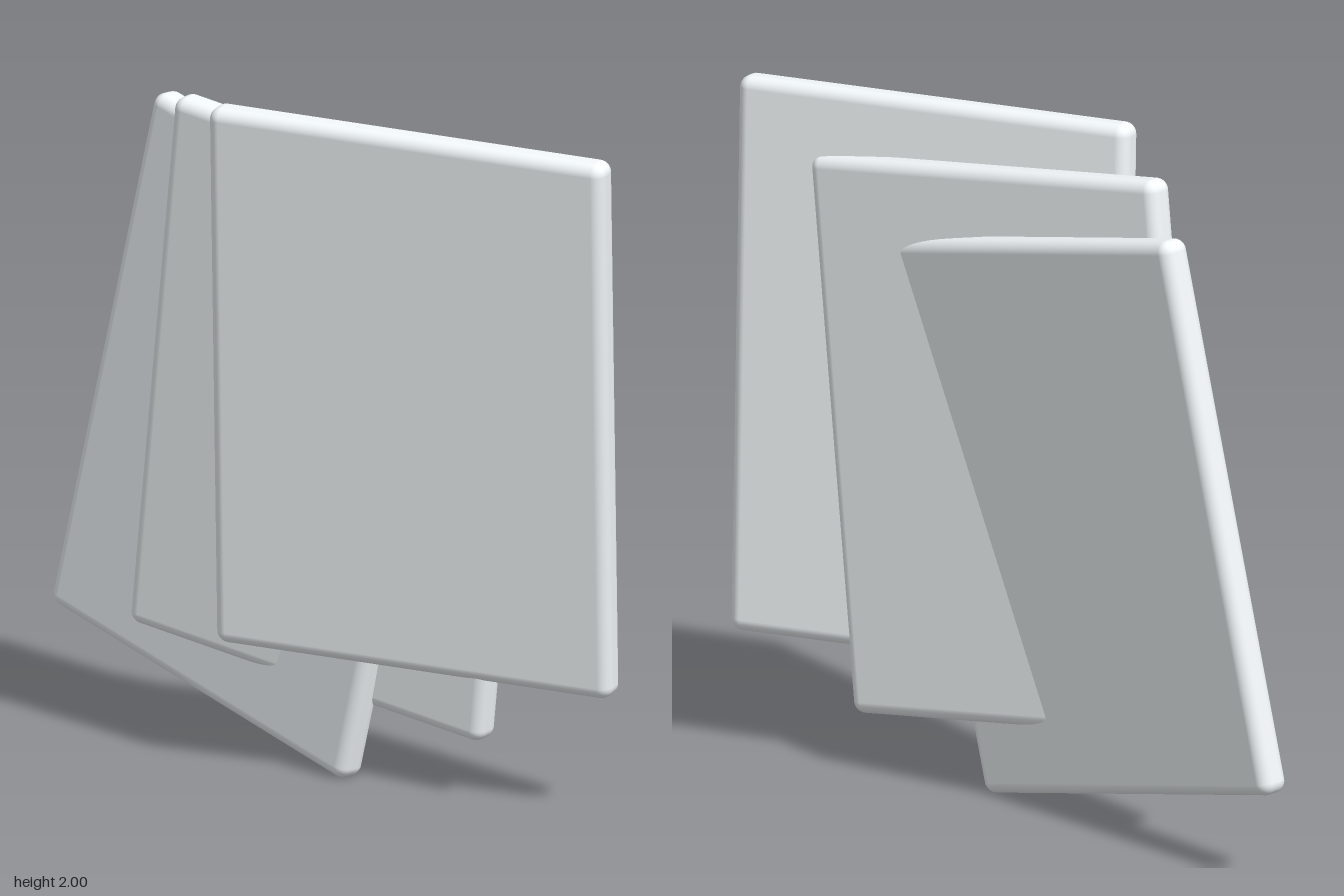
import * as THREE from 'three';
import { RoundedBoxGeometry } from 'three/addons/geometries/RoundedBoxGeometry.js';

const WIDTH = 1.24, HEIGHT = 1.63, THICKNESS = 0.096, RADIUS = 0.036;

// Each card: centre, direction along its width, direction along its height
const CARDS = [
  { name: 'frontCard', at: [0.347, 1.178, 0.258], across: [1.22, -0.025, 0.085], up: [0.027, 1.61, 0.125] },
  { name: 'middleCard', at: [0.045, 1.055, 0.1], across: [1.18, -0.16, 0.305], up: [0.185, 1.6, 0.125] },
  { name: 'backCard', at: [-0.25, 0.93, -0.062], across: [1.09, -0.285, 0.52], up: [0.36, 1.575, 0.11] },
];

export function createModel() {
  const group = new THREE.Group();
  group.name = 'fannedCards';
  const material = new THREE.MeshStandardMaterial({ color: 0xf3f8fa });
  const geometry = new RoundedBoxGeometry(WIDTH, HEIGHT, THICKNESS, 5, RADIUS);

  // Three equal rounded slabs, fanned out and turned progressively
  for (const { name, at, across, up } of CARDS) {
    const x = new THREE.Vector3(...across).normalize();
    const z = x.clone().cross(new THREE.Vector3(...up)).normalize();
    const y = z.clone().cross(x);
    const card = new THREE.Mesh(geometry, material);
    card.name = name;
    card.position.set(...at);
    card.quaternion.setFromRotationMatrix(new THREE.Matrix4().makeBasis(x, y, z));
    group.add(card);
  }
  return group;
}
